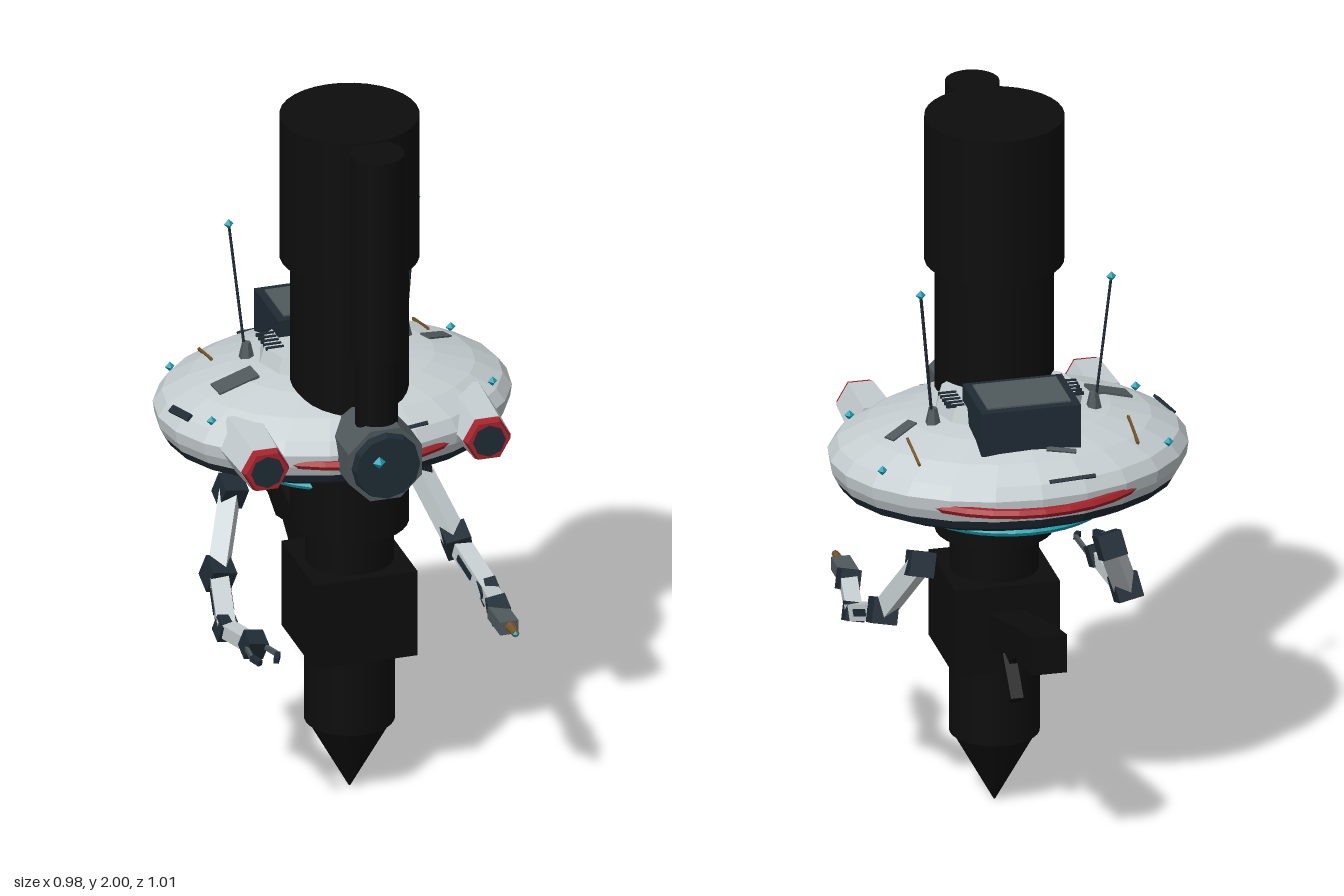
import * as THREE from 'three';

const paint = (name, color, flat = true) => {
  const m = new THREE.MeshStandardMaterial({ color, flatShading: flat });
  m.name = name;
  return m;
};

export function createModel() {
  const model = new THREE.Group();
  const black = paint('matte black', 0x0d0d0d, false);
  const white = paint('hull white', 0xc6ced1);
  const navy = paint('dark navy', 0x1f2b35);
  const grey = paint('panel grey', 0x50595d);
  const red = paint('trim red', 0xa8232c);
  const cyan = paint('glow cyan', 0x1ba3b3);
  const gold = paint('brass', 0x75552a);
  white.side = navy.side = THREE.DoubleSide;

  const V = (x, y, z) => new THREE.Vector3(x, y, z);
  const add = (name, geo, mat, x = 0, y = 0, z = 0) => {
    const mesh = new THREE.Mesh(geo, mat);
    mesh.name = name;
    mesh.position.set(x, y, z);
    model.add(mesh);
    return mesh;
  };
  const box = (name, mat, w, h, d, x, y, z) => add(name, new THREE.BoxGeometry(w, h, d), mat, x, y, z);
  // upright cylinder between two heights
  const column = (name, mat, r0, r1, y0, y1, x, z, n = 32) =>
    add(name, new THREE.CylinderGeometry(r1, r0, y1 - y0, n), mat, x, (y0 + y1) / 2, z);
  // cylinder lying along z
  const barrel = (name, mat, r0, r1, z0, z1, x, y, n, turn = 0) => {
    const g = new THREE.CylinderGeometry(r1, r0, z1 - z0, n).rotateX(Math.PI / 2).rotateZ(turn);
    return add(name, g, mat, x, y, (z0 + z1) / 2);
  };
  // rectangular bar joining two points
  const beam = (name, mat, a, b, w, h) => {
    const m = box(name, mat, w, h, a.distanceTo(b), 0, 0, 0);
    m.position.copy(a).lerp(b, 0.5);
    m.lookAt(b);
    return m;
  };
  const gem = (x, y, z, r = 0.014) => add('beacon', new THREE.OctahedronGeometry(r), cyan, x, y, z);

  // central black column, bottom to top
  const cz = 0.098;
  column('tipCone', black, 0.002, 0.115, 0, 0.205, 0, cz);
  column('lowerBarrel', black, 0.122, 0.122, 0.205, 0.43, 0, cz);
  box('receiverBlock', black, 0.29, 0.25, 0.29, 0, 0.557, cz);
  column('neck', black, 0.12, 0.12, 0.68, 0.8, 0, cz);
  column('mainBarrel', black, 0.16, 0.16, 0.795, 1.6, 0, cz);
  column('upperBarrel', black, 0.188, 0.188, 1.58, 2, 0, cz);
  column('sideTube', black, 0.058, 0.058, 1.1, 1.42, 0, 0.335);
  column('sideTubeHead', black, 0.073, 0.073, 1.4, 1.995, 0, 0.342);

  // rear grip, drawn in (-z, y) and extruded across x
  const grip = new THREE.Shape([
    [0.02, 0.6], [0.06, 0.61], [0.35, 0.695], [0.505, 0.73], [0.505, 0.62], [0.46, 0.62], [0.39, 0.585],
    [0.33, 0.6], [0.27, 0.555], [0.21, 0.565], [0.14, 0.53], [0.02, 0.5],
  ].map(p => new THREE.Vector2(...p)));
  const gripGeo = new THREE.ExtrudeGeometry(grip, { depth: 0.1, bevelEnabled: false });
  gripGeo.translate(0, 0, -0.05).rotateY(Math.PI / 2);
  add('grip', gripGeo, black);
  beam('trigger', black, V(0, 0.51, -0.03), V(0, 0.39, -0.145), 0.035, 0.03);

  // faceted saucer hull: white upper shell, navy belly
  const hz = -0.052, squash = 0.785;
  const top = [[0.49, 1.1], [0.465, 1.135], [0.39, 1.175], [0.28, 1.207], [0.15, 1.225], [0, 1.23]];
  const lathe = (name, pts, mat) => {
    const g = new THREE.LatheGeometry(pts.map(p => new THREE.Vector2(...p)), 24);
    add(name, g, mat, 0, 0, hz).scale.z = squash;
  };
  lathe('upperHull', [[0.47, 1.035], [0.485, 1.065], ...top], white);
  lathe('belly', [[0, 0.962], [0.29, 0.965], [0.4, 0.985], [0.455, 1.01], [0.47, 1.035]], navy);

  const ring = (name, mat, r, tube, y, z, tilt = 0) => {
    const g = new THREE.TorusGeometry(r, tube, 6, 36).rotateX(Math.PI / 2);
    add(name, g, mat, 0, y, z).rotation.x = tilt;
  };
  ring('redBumperRing', red, 0.397, 0.014, 1.072, -0.06);
  ring('glowRing', cyan, 0.265, 0.012, 0.953, -0.055, 0.025);

  // thin panels laid on the upper hull
  const hullY = (x, z) => {
    const r = Math.hypot(x, (z - hz) / squash);
    for (let i = 0; i < top.length - 1; i++) {
      const [ra, ya] = top[i], [rb, yb] = top[i + 1];
      if (r <= ra && r >= rb) return ya + (yb - ya) * (ra - r) / (ra - rb);
    }
    return 1.1;
  };
  const panel = (name, mat, x, z, w, d, turn = 0) => {
    const e = 0.02;
    const n = V(hullY(x - e, z) - hullY(x + e, z), 2 * e, hullY(x, z - e) - hullY(x, z + e)).normalize();
    const m = box(name, mat, w, 0.008, d, x, hullY(x, z), z);
    m.quaternion.setFromUnitVectors(V(0, 1, 0), n);
    m.rotateY(turn);
  };
  panel('hullPatch', grey, -0.29, 0, 0.12, 0.06, 0.1);
  panel('hullPatch', grey, 0.31, -0.11, 0.09, 0.035, 0.5);
  panel('hullPatch', navy, -0.45, 0.02, 0.022, 0.09, 0.3);
  panel('hullPatch', navy, -0.09, -0.405, 0.13, 0.01, 0.1);
  panel('hullPatch', grey, -0.08, -0.32, 0.08, 0.015, -0.2);
  panel('hullPatch', navy, 0.13, 0.29, 0.06, 0.01, 0.2);
  for (const s of [-1, 1]) panel('brassStrip', gold, s * 0.303, -0.22, 0.007, 0.125);

  // collar around the column, with vents
  const collar = column('collar', white, 0.215, 0.19, 1.18, 1.262, 0, -0.055, 12);
  collar.scale.z = 0.8;
  for (const s of [-1, 1]) for (let i = 0; i < 5; i++)
    box('ventSlit', navy, 0.05, 0.008, 0.007, s * 0.165, 1.262, -0.13 + i * 0.022);

  // rear equipment box
  box('equipmentBox', navy, 0.274, 0.125, 0.212, 0, 1.248, -0.204);
  box('equipmentLid', grey, 0.23, 0.008, 0.165, 0, 1.311, -0.203);

  // front nose
  barrel('noseHousing', grey, 0.112, 0.112, 0.24, 0.412, 0, 1.1, 8, Math.PI / 8);
  barrel('noseLens', navy, 0.098, 0.09, 0.4, 0.436, 0, 1.1, 12);
  gem(-0.025, 1.12, 0.436, 0.018);

  // parts repeated on both sides
  for (const s of [-1, 1]) {
    // headlight pods
    barrel('pod', white, 0.08, 0.068, 0.13, 0.328, s * 0.312, 1.095, 6, Math.PI / 6);
    barrel('podRim', red, 0.068, 0.06, 0.325, 0.35, s * 0.312, 1.095, 6, Math.PI / 6);
    barrel('podLens', navy, 0.046, 0.046, 0.347, 0.353, s * 0.312, 1.095, 8);

    // hull beacons and antennas
    gem(s * 0.395, hullY(0.395, -0.245) + 0.012, -0.245);
    gem(s * 0.395, hullY(0.395, 0.12) + 0.012, 0.12);
    column('antennaBase', grey, 0.024, 0.012, 1.2, 1.255, s * 0.222, -0.112, 6);
    beam('antennaRod', navy, V(s * 0.225, 1.22, -0.115), V(s * 0.263, 1.6, -0.14), 0.006, 0.006);
    gem(s * 0.263, 1.6, -0.14);

    // jointed arm
    const shoulder = V(s * 0.262, 0.81, -0.13), elbow = V(s * 0.335, 0.63, -0.01);
    const wrist = V(s * 0.37, 0.555, 0.17), palm = V(s * 0.345, 0.578, 0.33);
    beam('upperArm', white, shoulder, elbow, 0.05, 0.05);
    beam('forearm', white, elbow, wrist, 0.05, 0.045);
    beam('forearmPlate', navy, elbow.clone().lerp(wrist, 0.3), elbow.clone().lerp(wrist, 0.7), 0.056, 0.02);
    beam('handLink', white, wrist, palm, 0.045, 0.04);
    for (const [p, size] of [[shoulder, 0.068], [elbow, 0.07], [wrist, 0.052], [palm, 0.056]]) {
      const j = box('armJoint', navy, size, size, size, p.x, p.y, p.z);
      j.rotation.set(0.35, 0, s * 0.2);
    }
  }

  // two-finger claw on the right hand
  for (const s of [-1, 1]) {
    const x = -0.345 + s * 0.025, tip = -0.345 + s * 0.037;
    beam('clawFinger', grey, V(x, 0.578, 0.35), V(tip, 0.59, 0.435), 0.009, 0.014);
    beam('clawTip', navy, V(tip, 0.59, 0.43), V(tip - s * 0.015, 0.585, 0.46), 0.014, 0.016);
  }
  // torch on the left hand
  box('torchBody', grey, 0.052, 0.038, 0.11, 0.338, 0.578, 0.39);
  barrel('torchNozzle', gold, 0.014, 0.01, 0.44, 0.495, 0.34, 0.583, 8);
  gem(0.34, 0.583, 0.495, 0.009);

  return model;
}
